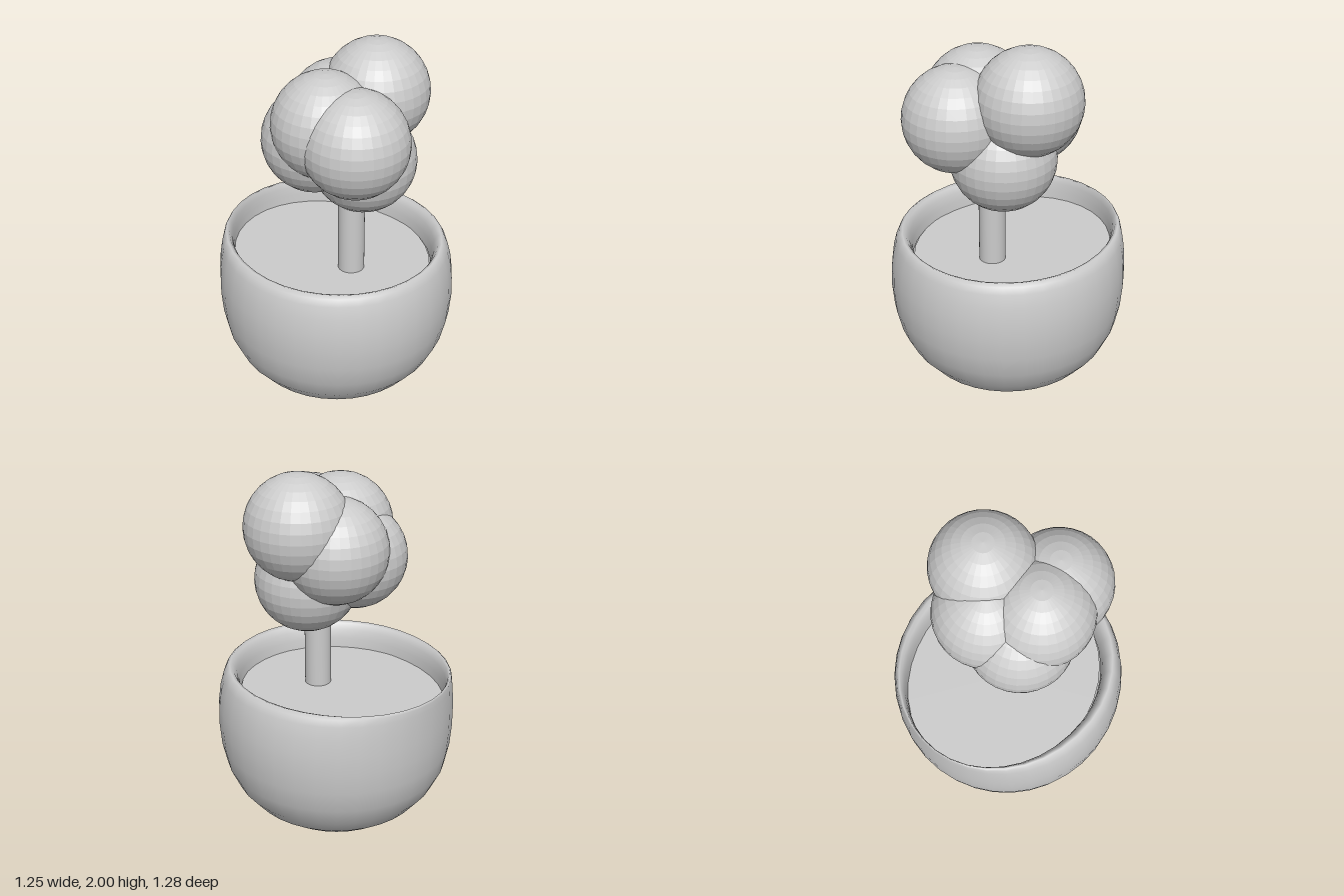
import * as THREE from 'three';

const SEG = 36;

// Loft through egg-shaped rings: [y, half width, front depth, back depth]
function loft(rings) {
  const pos = [], index = [];
  rings.forEach(([y, rx, front, back], r) => {
    for (let i = 0; i < SEG; i++) {
      const a = (i / SEG) * Math.PI * 2, s = Math.sin(a);
      pos.push(rx * Math.cos(a), y, s * (s > 0 ? front : back));
      if (r === 0) continue;
      const j = (i + 1) % SEG, lo = (r - 1) * SEG, hi = r * SEG;
      index.push(lo + i, hi + i, lo + j, hi + i, hi + j, lo + j);
    }
  });
  const g = new THREE.BufferGeometry();
  g.setAttribute('position', new THREE.Float32BufferAttribute(pos, 3));
  g.setIndex(index);
  g.computeVertexNormals();
  return g;
}

export function createModel() {
  const model = new THREE.Group();
  const smooth = new THREE.MeshStandardMaterial({ color: 0xcccccc, side: THREE.DoubleSide });
  const faceted = new THREE.MeshStandardMaterial({ color: 0xcccccc, flatShading: true });
  const add = (name, geometry, material, x = 0, y = 0, z = 0) => {
    const mesh = new THREE.Mesh(geometry, material);
    mesh.name = name;
    mesh.position.set(x, y, z);
    model.add(mesh);
    return mesh;
  };

  // Round bowl: the front and sides curl in at the rim, the back stays upright
  add('pot', loft([
    [0.005, 0.001, 0.001, 0.001],
    [0.012, 0.12, 0.12, 0.12],
    [0.04, 0.25, 0.25, 0.25],
    [0.09, 0.37, 0.375, 0.375],
    [0.16, 0.465, 0.47, 0.47],
    [0.25, 0.54, 0.545, 0.545],
    [0.36, 0.59, 0.60, 0.60],
    [0.48, 0.615, 0.63, 0.625],
    [0.60, 0.625, 0.64, 0.635],
    [0.70, 0.622, 0.637, 0.637],
    [0.79, 0.61, 0.625, 0.637],
    [0.86, 0.592, 0.607, 0.636],
    [0.895, 0.575, 0.592, 0.635],
    [0.91, 0.555, 0.575, 0.632],
    [0.902, 0.535, 0.557, 0.626],
    [0.87, 0.517, 0.538, 0.62],
    [0.82, 0.505, 0.525, 0.617],
    [0.76, 0.50, 0.52, 0.615],
  ]), smooth);

  // Flat soil filling the opening
  const soil = new THREE.CircleGeometry(1, SEG);
  soil.rotateX(-Math.PI / 2);
  soil.scale(0.505, 1, 0.57);
  add('soil', soil, smooth, 0, 0.77, -0.047);

  // Trunk
  const trunk = new THREE.CylinderGeometry(0.07, 0.07, 0.85, 32);
  add('trunk', trunk, new THREE.MeshStandardMaterial({ color: 0xcccccc }), 0, 1.165, 0.125);

  // Cluster of foliage balls
  const ball = new THREE.SphereGeometry(0.275, 32, 16);
  [
    [0.205, 1.725, 0.075],
    [-0.105, 1.605, 0.27],
    [-0.135, 1.645, 0.08],
    [0.08, 1.395, 0.125],
    [0.08, 1.595, -0.065],
    [-0.105, 1.51, -0.04],
  ].forEach((p, i) => add(`foliage${i + 1}`, ball, faceted, ...p));

  return model;
}
